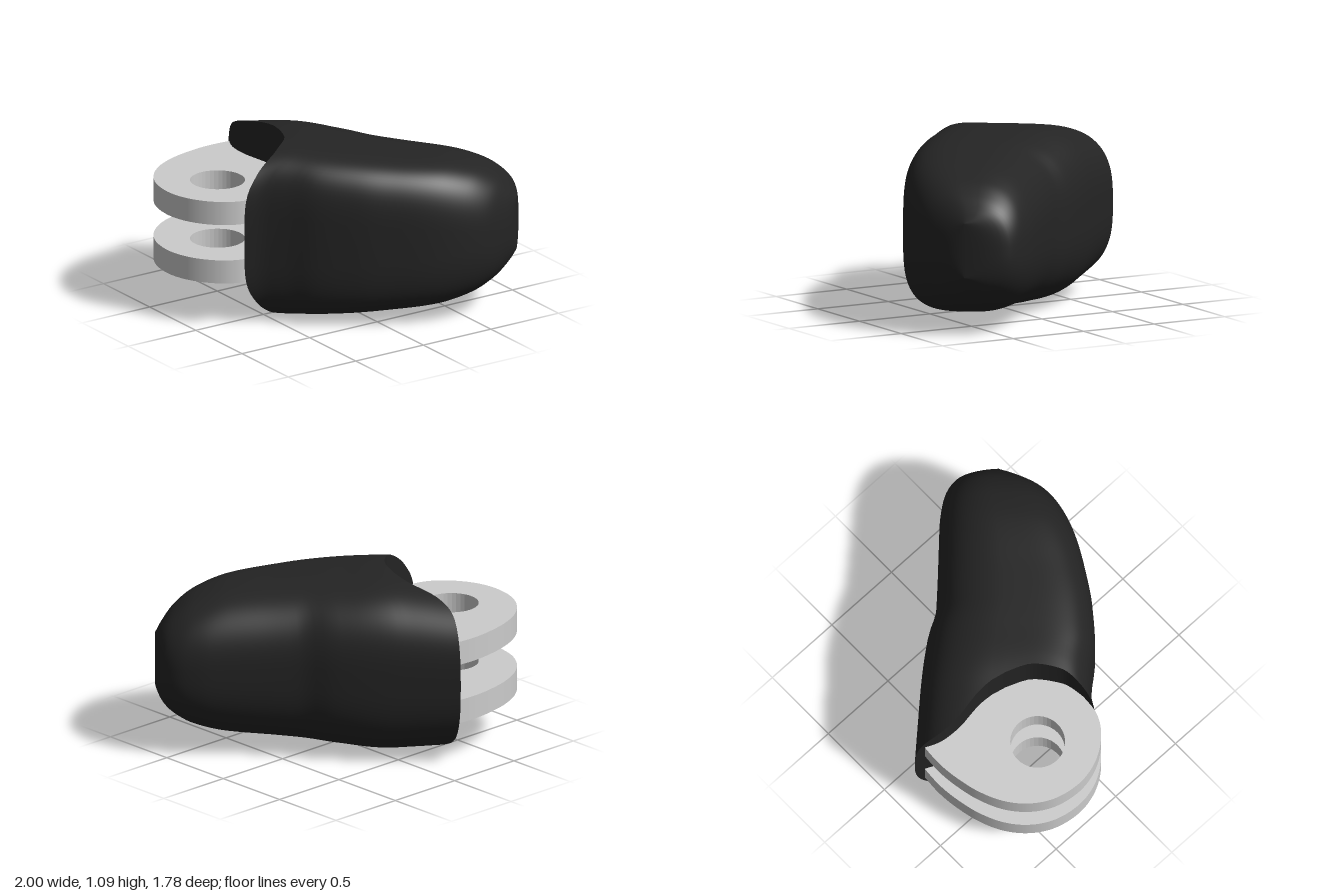
import * as THREE from 'three';

const MID_Y = 0.545, D = Math.SQRT1_2, TIP = 1.14;

// Smooth curve through [x, y] points, without overshoot and clamped at the ends
function through(pts) {
  const n = pts.length;
  const d = pts.slice(1).map((p, i) => (p[1] - pts[i][1]) / (p[0] - pts[i][0]));
  const m = pts.map((_, i) => {
    if (i === 0) return d[0];
    if (i === n - 1) return d[n - 2];
    return d[i - 1] * d[i] > 0 ? (2 * d[i - 1] * d[i]) / (d[i - 1] + d[i]) : 0;
  });
  return (x) => {
    if (x <= pts[0][0]) return pts[0][1];
    if (x >= pts[n - 1][0]) return pts[n - 1][1];
    let i = 0;
    while (x > pts[i + 1][0]) i++;
    const h = pts[i + 1][0] - pts[i][0], k = (x - pts[i][0]) / h;
    return pts[i][1] * (1 + 2 * k) * (1 - k) ** 2 + m[i] * h * k * (1 - k) ** 2
      + pts[i + 1][1] * k * k * (3 - 2 * k) + m[i + 1] * h * k * k * (k - 1);
  };
}

// Same, but measured so that the curve closes roundly at the tip
function roundTipped(pts) {
  const q = (s) => -Math.sqrt(Math.max(0, TIP - s));
  const f = through(pts.map(([s, t]) => [q(s), t]));
  return (s) => f(q(s));
}

// The body runs diagonally: s is along its axis, t across it
const sideA = roundTipped([[-0.74, 0.52], [-0.51, 0.51], [-0.21, 0.495], [0.04, 0.467], [0.24, 0.42],
  [0.5, 0.417], [0.785, 0.417], [0.94, 0.403], [1.075, 0.339], [1.124, 0.219], [TIP, 0.064]]);
const sideB = roundTipped([[-0.431, -0.573], [-0.304, -0.544], [-0.17, -0.545], [-0.007, -0.559],
  [0.255, -0.537], [0.488, -0.488], [0.707, -0.424], [0.898, -0.332], [1.015, -0.237],
  [1.096, -0.106], [TIP, 0.064]]);
const halfHeight = through([[-0.74, 0.5], [-0.59, 0.515], [-0.43, 0.53], [-0.25, 0.54], [0, 0.522],
  [0.4, 0.485], [0.7, 0.455], [0.9, 0.4], [1.03, 0.32], [1.1, 0.24], [TIP, 0.17]]);
// Hinge-side wall: s for each t
const wall = through([[-0.573, -0.431], [-0.509, -0.368], [-0.36, -0.276], [-0.198, -0.255],
  [-0.028, -0.311], [0.06, -0.364], [0.134, -0.431], [0.258, -0.59], [0.375, -0.686], [0.52, -0.74]]);

const toX = (s, t) => (s + t) * D;
const toZ = (s, t) => (s - t) * D;

function mesh(geometry, color, name) {
  const m = new THREE.Mesh(geometry, new THREE.MeshStandardMaterial({ color }));
  m.name = name;
  return m;
}

function indexed(positions, indices) {
  const g = new THREE.BufferGeometry();
  g.setAttribute('position', new THREE.Float32BufferAttribute(positions, 3));
  g.setIndex(indices);
  g.computeVertexNormals();
  return g;
}

// Height at s, t; k is t as a share of the half width. Squarer on the t < 0 side
function heightAt(s, t, k) {
  const e = Math.max(0, (s + 0.3) / (TIP + 0.3));
  const p = k > 0 ? 3 - 0.6 * e : 4 - 1.6 * e ** 3;
  return halfHeight(s) * (1 - 0.06 * t) * Math.max(0, 1 - Math.abs(k) ** p) ** (1 / p);
}

// Rounded-box cross-sections lofted from the wall to the tip
function bodyGeometries() {
  const RING = 96, STEPS = 48;
  const across = (s, k) => (sideA(s) + sideB(s)) / 2 + k * (sideA(s) - sideB(s)) / 2;
  // At the tip both halves of the ring meet and share their corners
  const fold = (i, j) => i * RING + (i < STEPS ? j : Math.min(j, (RING * 1.5 - j) % RING));
  const pos = [], idx = [], wallPos = [], wallIdx = [];
  for (let i = 0; i <= STEPS; i++) {
    for (let j = 0; j < RING; j++) {
      const c = Math.cos((j / RING) * Math.PI * 2);
      const k = Math.sign(c) * Math.abs(c) ** (2 / 3);
      let start = -0.4;
      for (let r = 0; r < 30; r++) start = wall(across(start, k));
      const s = start + (TIP - start) * Math.sin((i / STEPS) * Math.PI / 2);
      const t = across(s, k);
      const up = j < RING / 2 ? 1 : -1;
      pos.push(toX(s, t), MID_Y + up * heightAt(s, t, k), toZ(s, t));
      if (i < STEPS) {
        const n = (j + 1) % RING, p = fold(i, j), q = fold(i, n);
        idx.push(p, q, fold(i + 1, j), q, fold(i + 1, n), fold(i + 1, j));
      }
    }
  }
  // Wall closing the open end, upper edge to lower edge
  for (let j = 0; j <= RING / 2; j++) {
    for (const r of [j, (RING - j) % RING]) wallPos.push(...pos.slice(r * 3, r * 3 + 3));
    if (j < RING / 2) {
      const p = j * 2;
      wallIdx.push(p, p + 1, p + 3, p, p + 3, p + 2);
    }
  }
  return [indexed(pos, idx), indexed(wallPos, wallIdx)];
}

// Flat hinge plate with a pin hole, fitted against the wall
function lugGeometry() {
  const outer = [[-0.185, -0.835], [-0.32, -0.842], [-0.46, -0.828], [-0.62, -0.79], [-0.77, -0.72],
    [-0.89, -0.615], [-0.97, -0.48], [-1, -0.32], [-0.98, -0.18], [-0.92, -0.06], [-0.83, 0.035],
    [-0.73, 0.085], [-0.62, 0.097]].map(([x, z]) => new THREE.Vector2(x, -z));
  const shape = new THREE.Shape();
  shape.moveTo(outer[0].x, outer[0].y);
  shape.splineThru(outer.slice(1));
  for (let i = 1; i <= 40; i++) {
    const t = -0.5 + (i / 40) * 0.96;
    const s = wall(t) + 0.004;
    shape.lineTo(toX(s, t), -toZ(s, t));
  }
  shape.holes.push(new THREE.Path().absarc(-0.63, 0.307, 0.168, 0, Math.PI * 2, true));
  const g = new THREE.ExtrudeGeometry(shape, { depth: 0.15, bevelEnabled: false, curveSegments: 20 });
  return g.rotateX(-Math.PI / 2);
}

export function createModel() {
  const model = new THREE.Group();
  model.name = 'hingedFingertip';

  const [shell, back] = bodyGeometries();
  model.add(mesh(shell, 0x242424, 'tipBody'), mesh(back, 0x242424, 'hingeWall'));

  // Pair of hinge plates
  const lug = lugGeometry();
  for (const [name, y] of [['lowerLug', 0.28], ['upperLug', 0.66]]) {
    const m = mesh(lug, 0xcccccc, name);
    m.position.y = y;
    model.add(m);
  }
  return model;
}
